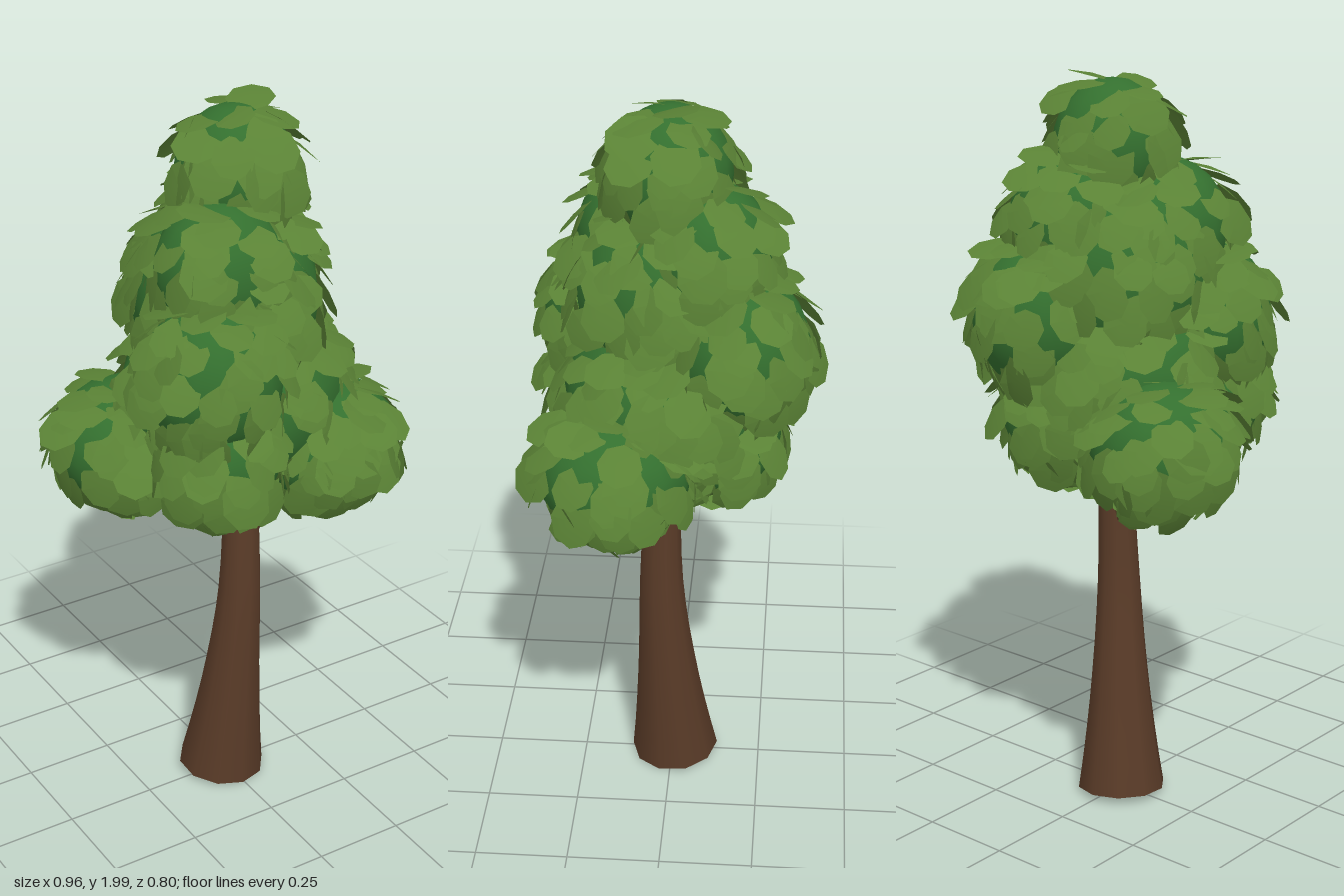
import * as THREE from 'three';
import { mergeGeometries } from 'three/addons/utils/BufferGeometryUtils.js';

const V = (x, y, z) => new THREE.Vector3(x, y, z);
const bark = new THREE.MeshStandardMaterial({ color: 0x5c3d29 });
const coreGreen = new THREE.MeshStandardMaterial({ color: 0x34702f });
const leafGreen = new THREE.MeshStandardMaterial({ color: 0x5a8235, side: THREE.DoubleSide });

// Foliage clumps: name, centre, radii
const clumps = [
  ['crownTop', V(0.03, 1.8, 0), V(0.155, 0.17, 0.155)],
  ['backShoulder', V(0.08, 1.61, -0.1), V(0.17, 0.18, 0.16)],
  ['frontShoulder', V(-0.07, 1.59, 0.09), V(0.17, 0.18, 0.16)],
  ['crownMiddle', V(0, 1.48, 0), V(0.24, 0.26, 0.25)],
  ['upperFrontClump', V(-0.14, 1.35, 0.17), V(0.18, 0.2, 0.18)],
  ['upperBackClump', V(0.12, 1.37, -0.18), V(0.18, 0.2, 0.18)],
  ['lowerLeftClump', V(0.23, 1.06, 0.13), V(0.2, 0.17, 0.2)],
  ['lowerRightClump', V(-0.24, 1.07, -0.12), V(0.19, 0.17, 0.19)],
  ['lowerFrontClump', V(-0.13, 1.13, 0.18), V(0.16, 0.17, 0.16)],
  ['lowerBackClump', V(0.09, 1.11, -0.13), V(0.16, 0.17, 0.16)],
  ['crownCentre', V(0.02, 1.2, 0), V(0.3, 0.25, 0.28)],
];

// Small seeded generator
function makeRandom(seed) {
  return () => {
    seed = (seed * 16807) % 2147483647;
    return seed / 2147483647;
  };
}

// Tube whose rings are rescaled by radius(t)
function taperedTube(points, radius, segments, sides) {
  const curve = new THREE.CatmullRomCurve3(points);
  const geometry = new THREE.TubeGeometry(curve, segments, 1, sides, false);
  const pos = geometry.attributes.position;
  const v = V(0, 0, 0);
  for (let i = 0; i < pos.count; i++) {
    const t = Math.floor(i / (sides + 1)) / segments;
    const centre = curve.getPointAt(t);
    v.fromBufferAttribute(pos, i).sub(centre).multiplyScalar(radius(t)).add(centre);
    pos.setXYZ(i, v.x, v.y, v.z);
  }
  return geometry;
}

// Closing disc over the first ring of a tube
function startCap(tube, sides) {
  const ring = Array.from(tube.attributes.position.array.slice(0, sides * 3));
  const index = [];
  for (let i = 1; i < sides - 1; i++) index.push(0, i, i + 1);
  const cap = new THREE.BufferGeometry();
  cap.setAttribute('position', new THREE.Float32BufferAttribute(ring, 3));
  cap.setIndex(index);
  cap.computeVertexNormals();
  return cap;
}

// Eight-sided leaf, stem near the origin, cupped backwards
function makeLeaf() {
  const leaf = new THREE.CircleGeometry(0.06, 8);
  leaf.scale(0.95, 1.05, 1);
  leaf.translate(0, 0.03, 0);
  const pos = leaf.attributes.position;
  for (let i = 0; i < pos.count; i++) {
    const x = pos.getX(i), y = pos.getY(i);
    pos.setZ(i, -1.8 * y * y - 1.5 * x * x);
  }
  leaf.computeVertexNormals();
  return leaf;
}

// Overlapping drooping leaves spread over the exposed part of a clump
function scatterLeaves(clump, leaf, random) {
  const [, centre, radii] = clump;
  const meanRadius = (radii.x + radii.y + radii.z) / 3;
  const count = Math.round(4 * Math.PI * meanRadius ** 2 * 210);
  const leaves = [];
  for (let i = 0; i < count; i++) {
    const h = 1 - (2 * (i + 0.5)) / count;
    const angle = i * 2.39996 + (random() - 0.5) * 0.8;
    const ring = Math.sqrt(1 - h * h);
    const unit = V(Math.cos(angle) * ring, h, Math.sin(angle) * ring);
    const point = unit.clone().multiply(radii).multiplyScalar(0.98 + random() * 0.06).add(centre);
    const size = 0.85 + random() * 0.3;
    const tilt = 0.15 + random() * 0.45;
    const roll = (random() - 0.5) * 0.5;
    const twist = (random() - 0.5) * 1.6;
    const buried = clumps.some((other) => other !== clump &&
      point.clone().sub(other[1]).divide(other[2]).length() < 0.86);
    if (buried) continue;

    const normal = unit.clone().divide(radii).normalize();
    const down = V(0.05, -1, 0.03).projectOnPlane(normal).normalize();
    down.applyAxisAngle(normal, twist);
    const yAxis = down.clone().multiplyScalar(Math.cos(tilt)).addScaledVector(normal, Math.sin(tilt));
    const zAxis = normal.clone().multiplyScalar(Math.cos(tilt)).addScaledVector(down, -Math.sin(tilt));
    zAxis.applyAxisAngle(yAxis, roll);
    const matrix = new THREE.Matrix4().makeBasis(yAxis.clone().cross(zAxis), yAxis, zAxis);
    matrix.scale(V(size, size, size)).setPosition(point);
    leaves.push(leaf.clone().applyMatrix4(matrix));
  }
  return leaves;
}

export function createModel() {
  const tree = new THREE.Group();
  tree.name = 'tree';
  const add = (name, geometry, material, parent = tree) => {
    const mesh = new THREE.Mesh(geometry, material);
    mesh.name = name;
    parent.add(mesh);
    return mesh;
  };

  // Trunk flaring towards the ground
  const sides = 10;
  const trunk = taperedTube(
    [V(-0.006, 0.01, -0.008), V(0.015, 0.3, 0.012), V(0.032, 0.6, 0.027), V(0.037, 0.9, 0.022), V(0.03, 1.2, 0.01)],
    (t) => 0.047 + 0.075 * (1 - t) ** 2.6, 14, sides);
  add('trunk', trunk, bark);
  add('trunkBase', startCap(trunk, sides), new THREE.MeshStandardMaterial({ color: 0x5c3d29, side: THREE.DoubleSide }));

  // Branches forking into the lower clumps
  const branchRadius = (t) => 0.032 - 0.014 * t;
  add('leftBranch', taperedTube([V(0.04, 0.77, 0.03), V(0.1, 0.86, 0.05), V(0.21, 1.02, 0.11)], branchRadius, 6, 7), bark);
  add('rightBranch', taperedTube([V(0.02, 0.79, 0.02), V(-0.06, 0.89, -0.02), V(-0.19, 1.03, -0.09)], branchRadius, 6, 7), bark);

  // Foliage: a smooth core per clump, clad in leaves
  const leaf = makeLeaf();
  const random = makeRandom(4711);
  for (const clump of clumps) {
    const [name, centre, radii] = clump;
    const group = new THREE.Group();
    group.name = name;
    tree.add(group);
    const core = add(name + 'Core', new THREE.SphereGeometry(1, 16, 12), coreGreen, group);
    core.position.copy(centre);
    core.scale.copy(radii);
    add(name + 'Leaves', mergeGeometries(scatterLeaves(clump, leaf, random)), leafGreen, group);
  }
  return tree;
}
